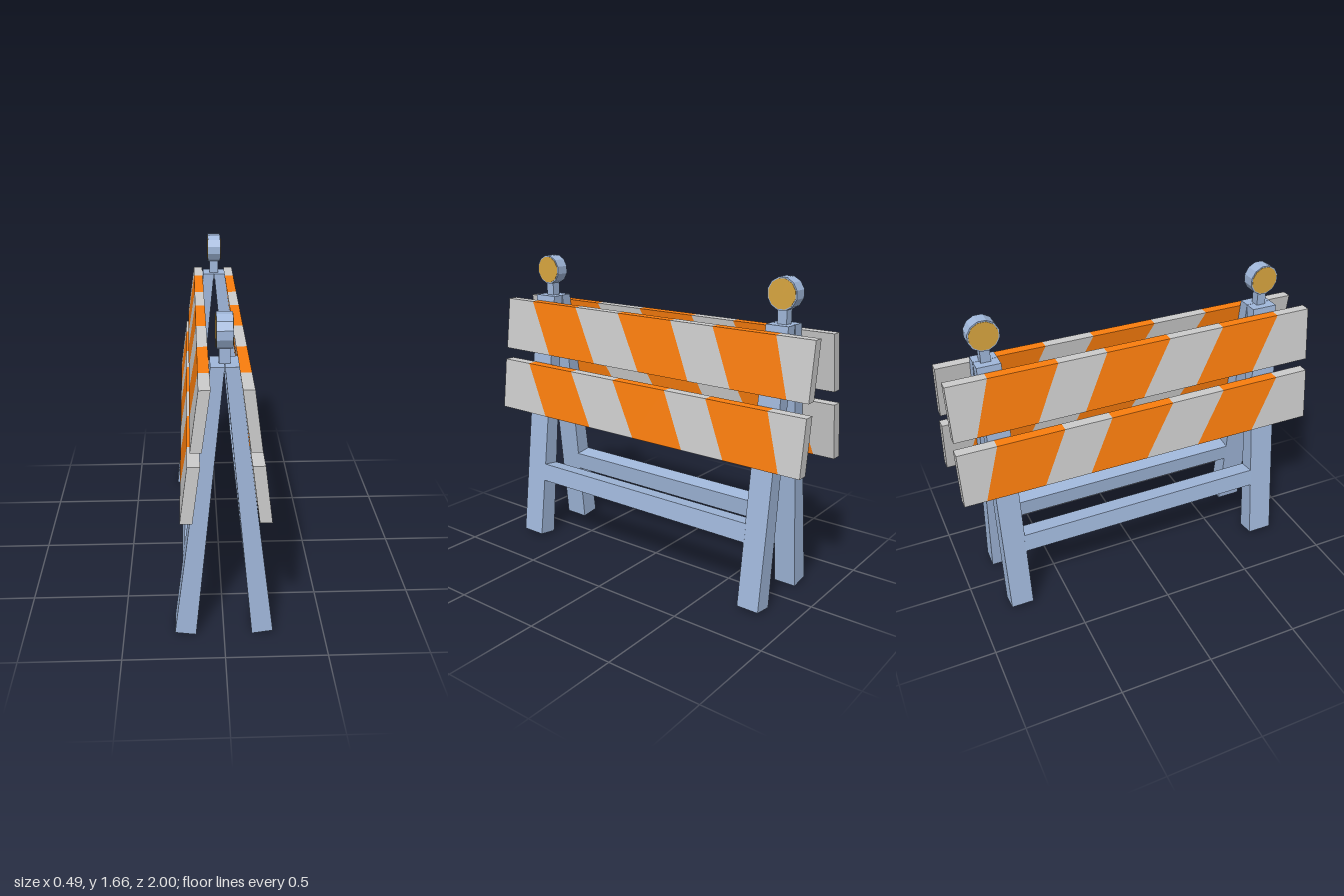
import * as THREE from 'three';

const grey = new THREE.MeshStandardMaterial({ color: 0xcccccc, flatShading: true });
const blue = new THREE.MeshStandardMaterial({ color: 0xa0b7da, flatShading: true });
const orange = new THREE.MeshStandardMaterial({ color: 0xfa7d0d, flatShading: true });
const amber = new THREE.MeshStandardMaterial({ color: 0xd9a640, flatShading: true });

// Six-sided bar along z: a cross-section [inner bottom, outer bottom, outer top, inner top]
// given for side +1, with the z of its bottom and top edges at the front and back ends.
function bar(name, material, side, section, front, back) {
  const ends = [front, back].map(([zBottom, zTop]) => {
    const ring = section.map(([x, y], i) => [side * x, y, i < 2 ? zBottom : zTop]);
    return side > 0 ? ring : ring.reverse();
  });
  const [f, b] = ends;
  const quads = [[f[0], f[1], f[2], f[3]], [b[3], b[2], b[1], b[0]]];
  for (let i = 0; i < 4; i++) {
    const j = (i + 1) % 4;
    quads.push([f[i], b[i], b[j], f[j]]);
  }
  const points = quads.flatMap(([p, q, r, s]) => [p, q, r, p, r, s]).flat();
  const geometry = new THREE.BufferGeometry();
  geometry.setAttribute('position', new THREE.Float32BufferAttribute(points, 3));
  geometry.computeVertexNormals();
  const mesh = new THREE.Mesh(geometry, material);
  mesh.name = name;
  return mesh;
}

// Striped board: grey and orange pieces between slanted cuts
function board(name, side, section) {
  const cuts = [ // [z at bottom edge, z at top edge]
    [1, 1], [0.65, 0.805], [0.308, 0.472], [0, 0.166],
    [-0.322, -0.182], [-0.574, -0.44], [-0.885, -0.795], [-1, -1],
  ];
  const group = new THREE.Group();
  group.name = name;
  for (let i = 0; i < cuts.length - 1; i++) {
    const striped = i % 2 === 1;
    group.add(bar(striped ? 'orangeStripe' : 'greyStripe', striped ? orange : grey,
      side, section, cuts[i], cuts[i + 1]));
  }
  return group;
}

// Warning lamp: square stem, twelve-sided housing, a lens on each face
function lamp(z) {
  const group = new THREE.Group();
  group.name = 'lamp';
  const stem = new THREE.Mesh(new THREE.BoxGeometry(0.05, 0.12, 0.05), blue);
  stem.name = 'lampStem';
  stem.position.y = 1.455;
  group.add(stem);
  const disc = (name, material, radius, depth) => {
    const geometry = new THREE.CylinderGeometry(radius, radius, depth, 12);
    geometry.rotateY(Math.PI / 12).rotateZ(Math.PI / 2);
    const mesh = new THREE.Mesh(geometry, material);
    mesh.name = name;
    mesh.position.y = 1.58;
    group.add(mesh);
  };
  disc('lampHousing', blue, 0.081, 0.072);
  disc('lampLenses', amber, 0.074, 0.076);
  group.position.z = z;
  return group;
}

export function createModel() {
  const model = new THREE.Group();
  model.name = 'barricade';

  const leg = [[0.14, 0], [0.245, 0.015], [0.064, 1.435], [0.001, 1.435]];
  const rail = [[0.106, 0.338], [0.203, 0.351], [0.19, 0.45], [0.096, 0.437]];
  const upper = [[0.106, 1.112], [0.158, 1.112], [0.119, 1.402], [0.067, 1.402]];
  const lower = [[0.151, 0.758], [0.208, 0.758], [0.171, 1.045], [0.114, 1.045]];

  for (const side of [1, -1]) {
    model.add(bar('frontLeg', blue, side, leg, [0.825, 0.825], [0.685, 0.685]));
    model.add(bar('backLeg', blue, side, leg, [-0.706, -0.706], [-0.828, -0.828]));
    model.add(bar('rail', blue, side, rail, [0.69, 0.69], [-0.71, -0.71]));
    model.add(board('upperBoard', side, upper));
    model.add(board('lowerBoard', side, lower));
  }
  model.add(lamp(0.755), lamp(-0.77));
  return model;
}
